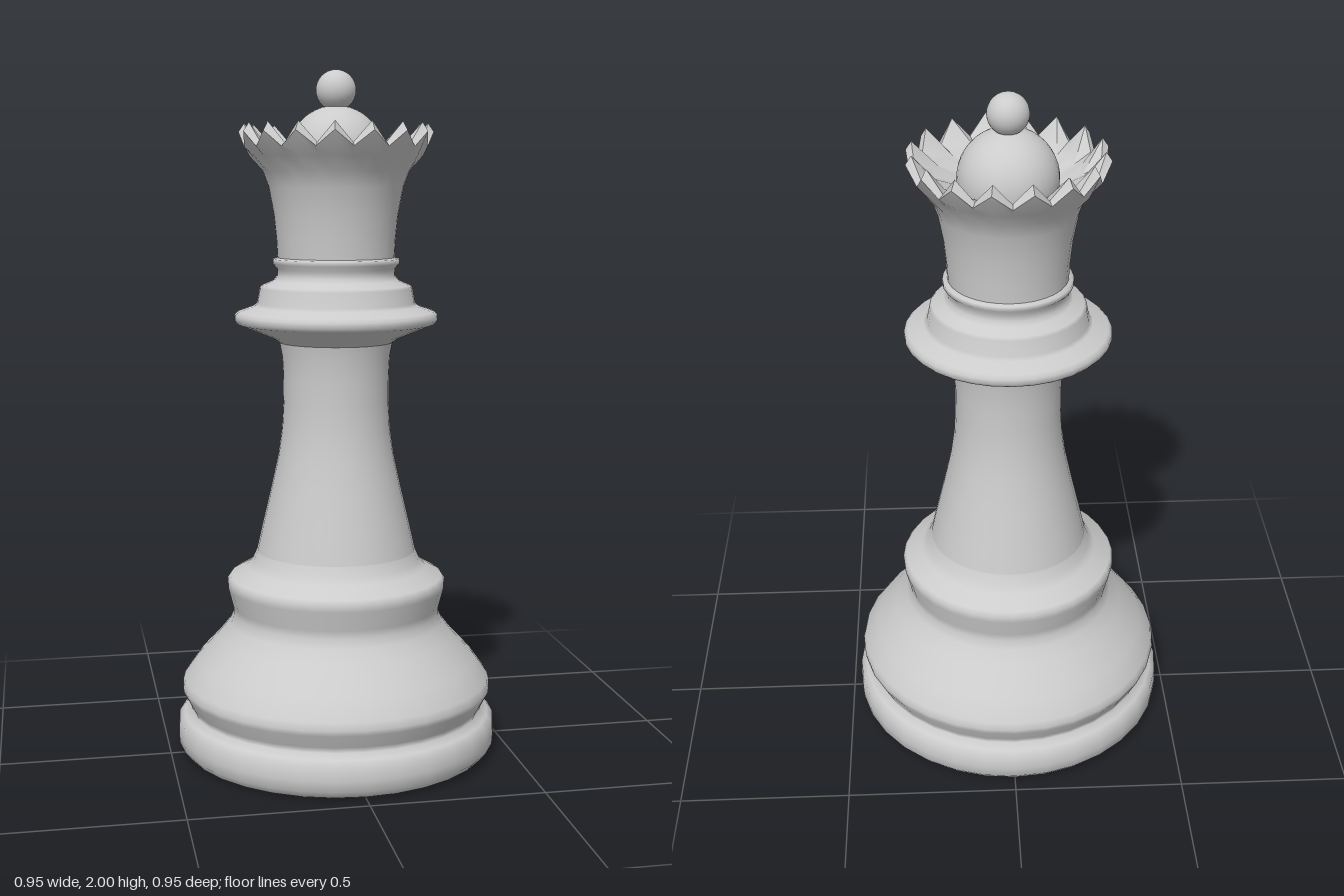
import * as THREE from 'three';
import { toCreasedNormals } from 'three/addons/utils/BufferGeometryUtils.js';

const SEGMENTS = 32;
const material = new THREE.MeshStandardMaterial({ color: 0xcccccc, side: THREE.DoubleSide });

// Turned part from [radius, height] pairs, listed from bottom to top
function turned(profile) {
  return new THREE.LatheGeometry(profile.map(([r, y]) => new THREE.Vector2(r, y)), SEGMENTS);
}

function addPart(group, name, geometry, y = 0) {
  const mesh = new THREE.Mesh(geometry, material);
  mesh.name = name;
  mesh.position.y = y;
  group.add(mesh);
}

// Flared cup whose rim alternates between notches and points
function crownGeometry() {
  const profile = [
    [0.17, 1.465], [0.173, 1.52], [0.18, 1.59], [0.195, 1.67], [0.212, 1.715],
    [0.24, 1.755], [0.265, 1.782], [0.25, 1.792], [0.2, 1.765], [0.13, 1.74],
  ];
  // Offsets [radius, height] that lift the rim rows on every second segment
  const lift = { 5: [0.01, 0.003], 6: [0.015, 0.043], 7: [0.013, 0.058], 8: [0.006, 0.014] };
  const geometry = turned(profile);
  const pos = geometry.attributes.position;
  const rows = profile.length;
  for (let i = 1; i < SEGMENTS; i += 2) {
    const angle = (i / SEGMENTS) * Math.PI * 2;
    for (const [row, [dr, dy]] of Object.entries(lift)) {
      const r = profile[row][0] + dr;
      pos.setXYZ(i * rows + Number(row), r * Math.sin(angle), profile[row][1] + dy, r * Math.cos(angle));
    }
  }
  return toCreasedNormals(geometry, 0.6);
}

export function createModel() {
  const group = new THREE.Group();
  group.name = 'chessQueen';

  // Foot, lower bulge and shoulder
  addPart(group, 'base', turned([
    [0, 0], [0.44, 0], [0.455, 0.008], [0.473, 0.03], [0.475, 0.06], [0.473, 0.1],
    [0.455, 0.115], [0.433, 0.128], [0.438, 0.145], [0.459, 0.185], [0.461, 0.2],
    [0.455, 0.222], [0.415, 0.278], [0.35, 0.348], [0.318, 0.388], [0.306, 0.415],
    [0.308, 0.438], [0.323, 0.495], [0.324, 0.515], [0.315, 0.528], [0.265, 0.556],
    [0.248, 0.575], [0.235, 0.605],
  ]));

  // Tapering stem
  addPart(group, 'stem', turned([
    [0.235, 0.605], [0.218, 0.68], [0.192, 0.79], [0.17, 0.89], [0.159, 0.97],
    [0.155, 1.04], [0.155, 1.12], [0.158, 1.18], [0.166, 1.222],
  ]));

  // Wide collar, step and neck ring
  addPart(group, 'collar', turned([
    [0.166, 1.222], [0.185, 1.235], [0.245, 1.26], [0.288, 1.277], [0.296, 1.287],
    [0.296, 1.302], [0.286, 1.312], [0.24, 1.328], [0.23, 1.337], [0.222, 1.38],
    [0.215, 1.388], [0.182, 1.402], [0.172, 1.415], [0.171, 1.435], [0.184, 1.45],
    [0.184, 1.464], [0.168, 1.468],
  ]));

  addPart(group, 'crown', crownGeometry());

  // Dome inside the crown, with a ball on top
  addPart(group, 'dome', new THREE.SphereGeometry(0.14, SEGMENTS, 12, 0, Math.PI * 2, 0, Math.PI * 0.55), 1.76);
  addPart(group, 'finial', new THREE.SphereGeometry(0.058, SEGMENTS, 16), 1.942);

  return group;
}
